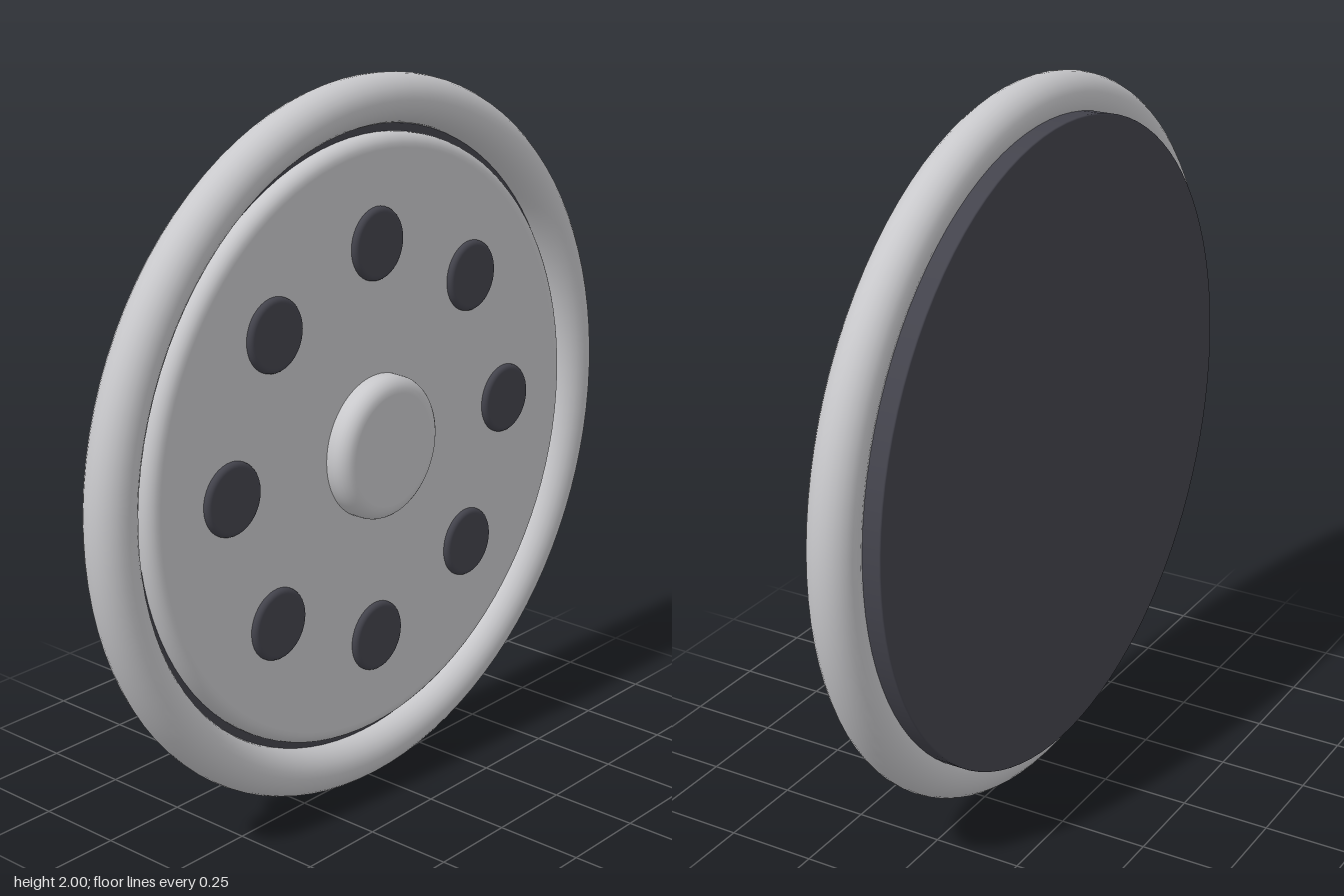
import * as THREE from 'three';

const SEG = 96;

// Round slab about the x axis, from x0 to x1, with rounded front and back edges
function slab(name, radius, x0, x1, frontRound, backRound, material, seg = SEG) {
  const p = [[0, x0], [radius - backRound - 0.003, x0]];
  const arc = (cx, r, from) => {
    for (let i = 0; i <= 6; i++) {
      const a = from + (i / 6) * Math.PI / 2;
      p.push([radius - r + Math.cos(a) * r, cx + Math.sin(a) * r]);
    }
  };
  arc(x0 + backRound, backRound, -Math.PI / 2);
  arc(x1 - frontRound, frontRound, 0);
  p.push([radius - frontRound - 0.003, x1], [0, x1]);
  const geometry = new THREE.LatheGeometry(p.map(([r, x]) => new THREE.Vector2(r, x)), seg);
  geometry.rotateZ(-Math.PI / 2);
  const mesh = new THREE.Mesh(geometry, material);
  mesh.name = name;
  return mesh;
}

export function createModel() {
  const silver = new THREE.MeshStandardMaterial({ name: 'light grey', color: 0xc8c8cb });
  const dark = new THREE.MeshStandardMaterial({ name: 'dark grey', color: 0x43434c });

  const model = new THREE.Group();
  model.name = 'disc';
  const wheel = new THREE.Group();
  wheel.name = 'wheel';
  wheel.position.y = 1;
  model.add(wheel);

  // Outer ring
  const ring = new THREE.Mesh(new THREE.TorusGeometry(0.933, 0.067, 24, SEG), silver);
  ring.geometry.rotateY(Math.PI / 2);
  ring.name = 'outerRing';
  wheel.add(ring);

  // Dark backing, raised face plate and central hub
  wheel.add(slab('backPlate', 0.9, -0.11, 0, 0.004, 0.004, dark));
  wheel.add(slab('facePlate', 0.845, -0.02, 0.045, 0.035, 0.004, silver));
  wheel.add(slab('hub', 0.2, 0.02, 0.11, 0.04, 0.004, silver, 64));

  // Ring of eight dark studs
  for (let i = 0; i < 8; i++) {
    const a = (i / 8) * Math.PI * 2;
    const stud = slab('stud', 0.1, 0.02, 0.06, 0.014, 0.004, dark, 40);
    stud.position.set(0, Math.sin(a) * 0.56, Math.cos(a) * 0.56);
    wheel.add(stud);
  }
  return model;
}
